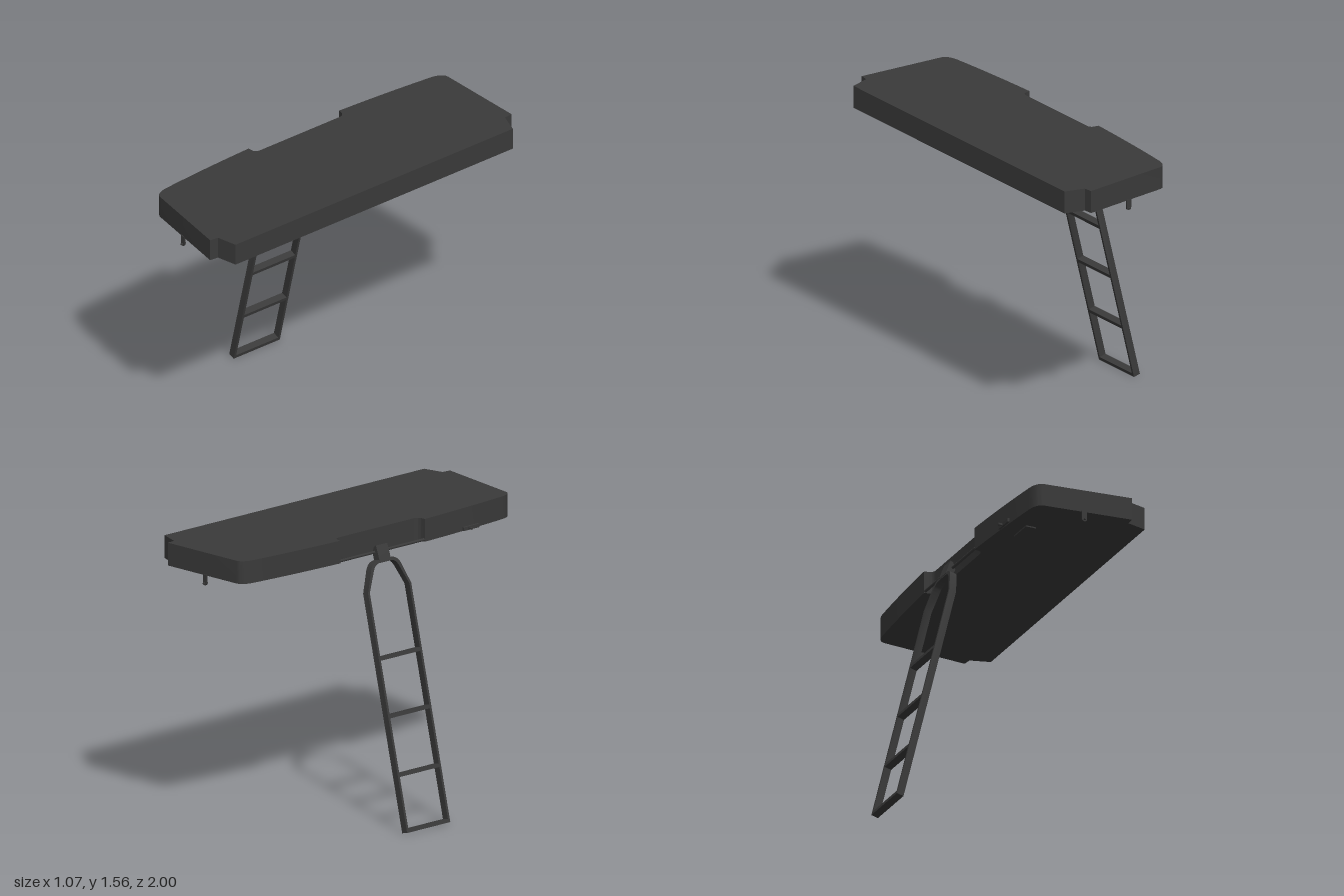
import * as THREE from 'three';
import { toCreasedNormals } from 'three/addons/utils/BufferGeometryUtils.js';

export function createModel() {
  const model = new THREE.Group();
  const charcoal = new THREE.MeshStandardMaterial({ color: 0x3a3a3a });
  charcoal.name = 'charcoal';

  const add = (parent, name, geometry, x = 0, y = 0, z = 0) => {
    const mesh = new THREE.Mesh(geometry, charcoal);
    mesh.name = name;
    mesh.position.set(x, y, z);
    parent.add(mesh);
    return mesh;
  };
  const box = (w, h, d) => new THREE.BoxGeometry(w, h, d);
  const extrude = (shape, depth) => toCreasedNormals(
    new THREE.ExtrudeGeometry(shape, { depth, bevelEnabled: false, curveSegments: 10 }), 0.6);

  // Half outline of the slab in (x, z), from the straight side to the ladder recess
  const half = new THREE.Path();
  half.moveTo(0.535, 0.92);
  half.lineTo(0.425, 0.952);
  half.lineTo(0.42, 1.0);
  half.lineTo(-0.07, 0.955);
  half.quadraticCurveTo(-0.115, 0.95, -0.122, 0.87);
  half.quadraticCurveTo(-0.148, 0.6, -0.16, 0.3);
  half.lineTo(-0.135, 0.297);
  half.quadraticCurveTo(-0.112, 0.293, -0.11, 0.265);
  const side = half.getPoints(8);
  const mirrored = side.map(p => new THREE.Vector2(p.x, -p.y)).reverse();
  const slab = extrude(new THREE.Shape([...side, ...mirrored]), 0.125);
  slab.rotateX(Math.PI / 2);
  add(model, 'slab', slab, 0, 1.56, 0);

  // Grab bar across the recess
  const bar = new THREE.CylinderGeometry(0.008, 0.008, 0.61, 10).rotateX(Math.PI / 2);
  add(model, 'grabBar', bar, -0.153, 1.446, 0);

  // Small plate under the slab and the catch on its edge
  add(model, 'undersidePlate', box(0.06, 0.008, 0.145), -0.02, 1.432, 0.62);
  add(model, 'catchPlate', box(0.012, 0.02, 0.11), -0.15, 1.447, 0.635);
  add(model, 'catchPin', box(0.03, 0.01, 0.012), -0.162, 1.447, 0.62);

  // Thin rounded tabs hanging at both ends, each with a tiny cross pin
  for (const s of [1, -1]) {
    const tab = new THREE.Shape();
    tab.moveTo(0.015, 0.06);
    tab.lineTo(-0.015, 0.06);
    tab.lineTo(-0.015, 0.015);
    tab.absarc(0, 0.015, 0.015, Math.PI, Math.PI * 2, false);
    add(model, 'endTab', extrude(tab, 0.008), 0.153, 1.38, s * 0.975 - 0.004);
    const pin = new THREE.CylinderGeometry(0.005, 0.005, 0.03, 8).rotateX(Math.PI / 2);
    add(model, 'tabPin', pin, 0.153, 1.392, s * 0.975);
  }

  // Leaning ladder
  const ladder = new THREE.Group();
  ladder.name = 'ladder';
  ladder.position.set(-0.517, 0.005, -0.012);
  ladder.rotation.z = -0.2417;
  model.add(ladder);

  // Arched frame: the same outline, inset, makes its opening
  const arch = (Path, w, bottom, t) => {
    const p = new Path();
    p.moveTo(-w, bottom);
    p.lineTo(w, bottom);
    p.lineTo(w, 1.285);
    p.lineTo(0.11 - t, 1.39 - t * 0.4);
    p.quadraticCurveTo(0.092 - t, 1.442 - t, 0.045, 1.444 - t);
    p.lineTo(-0.045, 1.444 - t);
    p.quadraticCurveTo(-0.092 + t, 1.442 - t, -0.11 + t, 1.39 - t * 0.4);
    p.lineTo(-w, 1.285);
    p.closePath();
    return p;
  };
  const frame = arch(THREE.Shape, 0.153, 0, 0);
  frame.holes.push(arch(THREE.Path, 0.14, 0.02, 0.017));
  const frameGeometry = extrude(frame, 0.04);
  frameGeometry.rotateY(-Math.PI / 2).translate(0.02, 0, 0);
  add(ladder, 'ladderFrame', frameGeometry);
  for (const y of [0.308, 0.623, 0.932]) add(ladder, 'rung', box(0.04, 0.02, 0.29), 0, y, 0);

  // Tapered bracket that joins the ladder to the slab
  const bracket = new THREE.Shape([
    [-0.195, 1.405], [-0.152, 1.4], [-0.138, 1.44], [-0.15, 1.475], [-0.165, 1.485], [-0.175, 1.46],
  ].map(([x, y]) => new THREE.Vector2(x, y)));
  add(model, 'hingeBracket', extrude(bracket, 0.08), 0, 0, -0.052);

  return model;
}
